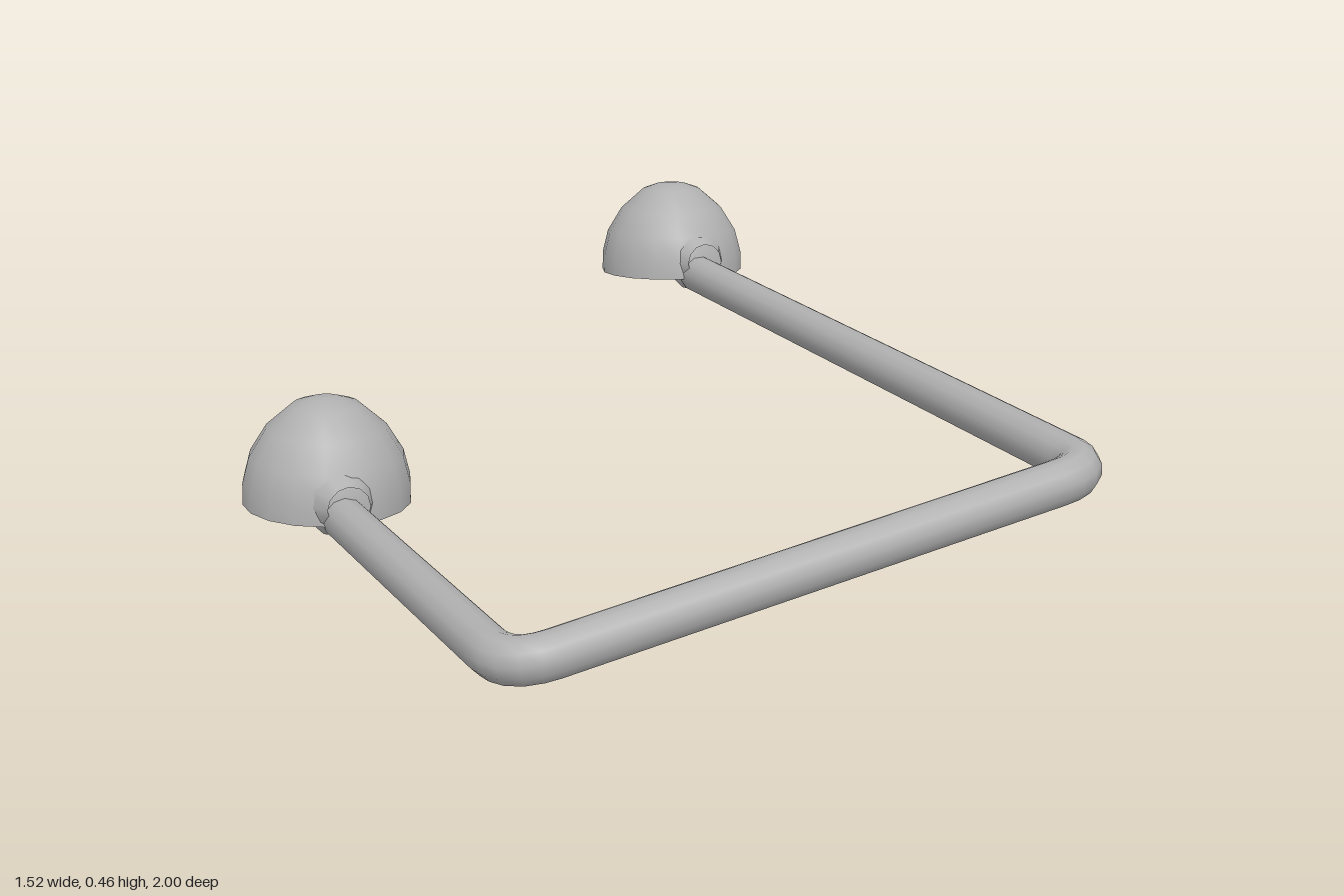
import * as THREE from 'three';

export function createModel() {
  const group = new THREE.Group();
  const grey = new THREE.MeshStandardMaterial({ color: 0xb0b0b0 });
  grey.name = 'grey';
  const V = (x, y, z) => new THREE.Vector3(x, y, z);

  const add = (parent, name, geometry) => {
    const mesh = new THREE.Mesh(geometry, grey);
    mesh.name = name;
    parent.add(mesh);
    return mesh;
  };

  // Bent rod: straight runs joined by short rounded corners
  const radius = 0.045;
  const points = [V(-0.605, 0.048, 0.1), V(-0.602, 0.058, 0.952), V(0.582, 0.243, 0.952), V(0.58, 0.26, -0.67)];
  const path = new THREE.CurvePath();
  let from = points[0];
  for (let i = 1; i < 3; i++) {
    const corner = points[i];
    const toward = p => corner.clone().add(p.clone().sub(corner).setLength(0.085));
    const a = toward(points[i - 1]), b = toward(points[i + 1]);
    path.add(new THREE.LineCurve3(from, a));
    path.add(new THREE.QuadraticBezierCurve3(a, corner, b));
    from = b;
  }
  path.add(new THREE.LineCurve3(from, points[3]));
  add(group, 'rod', new THREE.TubeGeometry(path, 140, radius, 12));

  // Flat rod ends tucked under the domes
  for (const end of [points[0], points[3]]) {
    add(group, 'rodEnd', new THREE.CircleGeometry(radius, 12).rotateY(Math.PI)).position.copy(end);
  }

  // Domed feet with a flat underside
  const profile = [[0.175, 0], [0.174, 0.045], [0.16, 0.1], [0.125, 0.157], [0.07, 0.205], [0.035, 0.217], [0, 0.22]]
    .map(([x, y]) => new THREE.Vector2(x, y));
  const addDome = (name, x, y, z, tiltX, tiltZ) => {
    const dome = new THREE.Group();
    dome.name = name;
    add(dome, 'domeShell', new THREE.LatheGeometry(profile, 18));
    add(dome, 'domeBase', new THREE.CircleGeometry(0.175, 18).rotateX(Math.PI / 2));
    // Short flared collar where the rod meets the dome
    const collar = new THREE.CylinderGeometry(0.075, radius, 0.05, 12, 1, true).rotateX(-Math.PI / 2);
    add(dome, 'collar', collar).position.set(name === 'rightDome' ? -0.015 : 0, 0.04, 0.16);
    dome.position.set(x, y, z);
    dome.rotation.set(tiltX, 0, tiltZ);
    group.add(dome);
  };
  addDome('rightDome', -0.588, 0.036, -0.06, 0, -0.02);
  addDome('leftDome', 0.585, 0.238, -0.822, -0.08, -0.02);

  return group;
}
